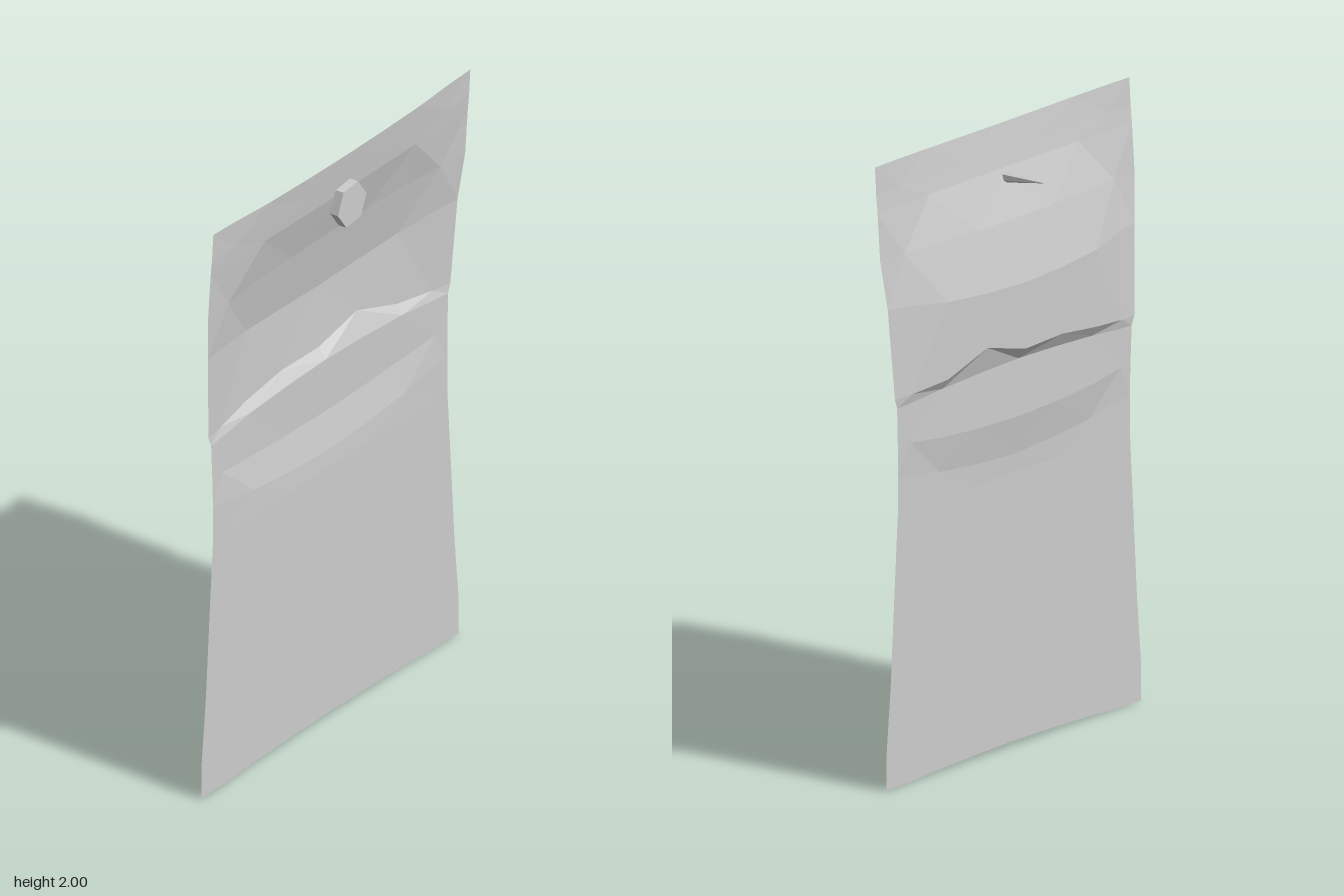
import * as THREE from 'three';

export function createModel() {
  const group = new THREE.Group();
  const grey = new THREE.MeshStandardMaterial({ color: 0xcccccc, side: THREE.DoubleSide, flatShading: true });
  grey.name = 'light grey';

  // Sheet rows, top to bottom: edge x, y at centre, y at edge, z at centre, z at edge
  const rows = [
    [0.68, 1.993, 2.0, 0.075, 0.06],
    [0.68, 1.91, 1.91, 0.063, 0.055],
    [0.68, 1.855, 1.855, 0.055, 0.05],
    [0.68, 1.7, 1.7, 0.008, 0.04],
    [0.66, 1.5, 1.54, -0.033, 0.025],
    [0.64, 1.285, 1.25, -0.03, 0.012],
    [0.627, 1.25, 1.22, -0.002, 0.013],
    [0.622, 1.065, 1.1, -0.006, 0.014],
    [0.62, 0.94, 1.0, 0.013, 0.015],
    [0.62, 0.88, 0.88, 0.015, 0.015],
    [0.64, 0.6, 0.6, 0.015, 0.015],
    [0.657, 0.35, 0.35, 0.015, 0.015],
    [0.68, 0.12, 0.12, 0.015, 0.015],
    [0.68, 0.016, 0, 0.015, 0.015],
  ];
  // Columns from centre to edge: x, and how far y and z have gone from centre to edge value
  const columnX = [0, 0.2, 0.4, 0.56];
  const blendY = [0, 0.15, 0.45, 0.9, 1];
  const blendZ = [0, 0.06, 0.25, 0.75, 1];
  const foldRow = 5;

  const positions = [], indices = [];
  rows.forEach(([edgeX, yMid, yEdge, zMid, zEdge], r) => {
    for (let c = -4; c <= 4; c++) {
      const k = Math.abs(c);
      // The main fold rises unevenly to one side
      const lift = r === foldRow && k === 1 ? 0.03 + c * 0.02 : 0;
      positions.push(
        Math.sign(c) * (k === 4 ? edgeX : columnX[k]),
        THREE.MathUtils.lerp(yMid, yEdge, blendY[k]) + lift,
        THREE.MathUtils.lerp(zMid, zEdge, blendZ[k]),
      );
      if (r > 0 && c > -4) {
        const d = r * 9 + c + 4, a = d - 10, b = d - 9, e = d - 1;
        // Alternate diagonals so the creases look hand folded
        if ((r + c) % 2) indices.push(a, e, b, b, e, d);
        else indices.push(a, e, d, a, d, b);
      }
    }
  });
  const sheet = new THREE.BufferGeometry();
  sheet.setAttribute('position', new THREE.Float32BufferAttribute(positions, 3));
  sheet.setIndex(indices);
  sheet.computeVertexNormals();

  const add = (name, geometry) => {
    const mesh = new THREE.Mesh(geometry, grey);
    mesh.name = name;
    group.add(mesh);
    return mesh;
  };
  add('paperSheet', sheet);

  // Nail: hexagonal head in front, spike through the sheet to the back
  const head = new THREE.CylinderGeometry(0.076, 0.076, 0.03, 6);
  head.rotateY(Math.PI / 6 + 0.12).rotateX(Math.PI / 2);
  add('nailHead', head).position.set(-0.003, 1.83, 0.087);

  const spike = new THREE.ConeGeometry(0.023, 0.175, 6);
  spike.rotateX(-Math.PI / 2);
  add('nailSpike', spike).position.set(-0.003, 1.827, -0.0125);

  return group;
}
